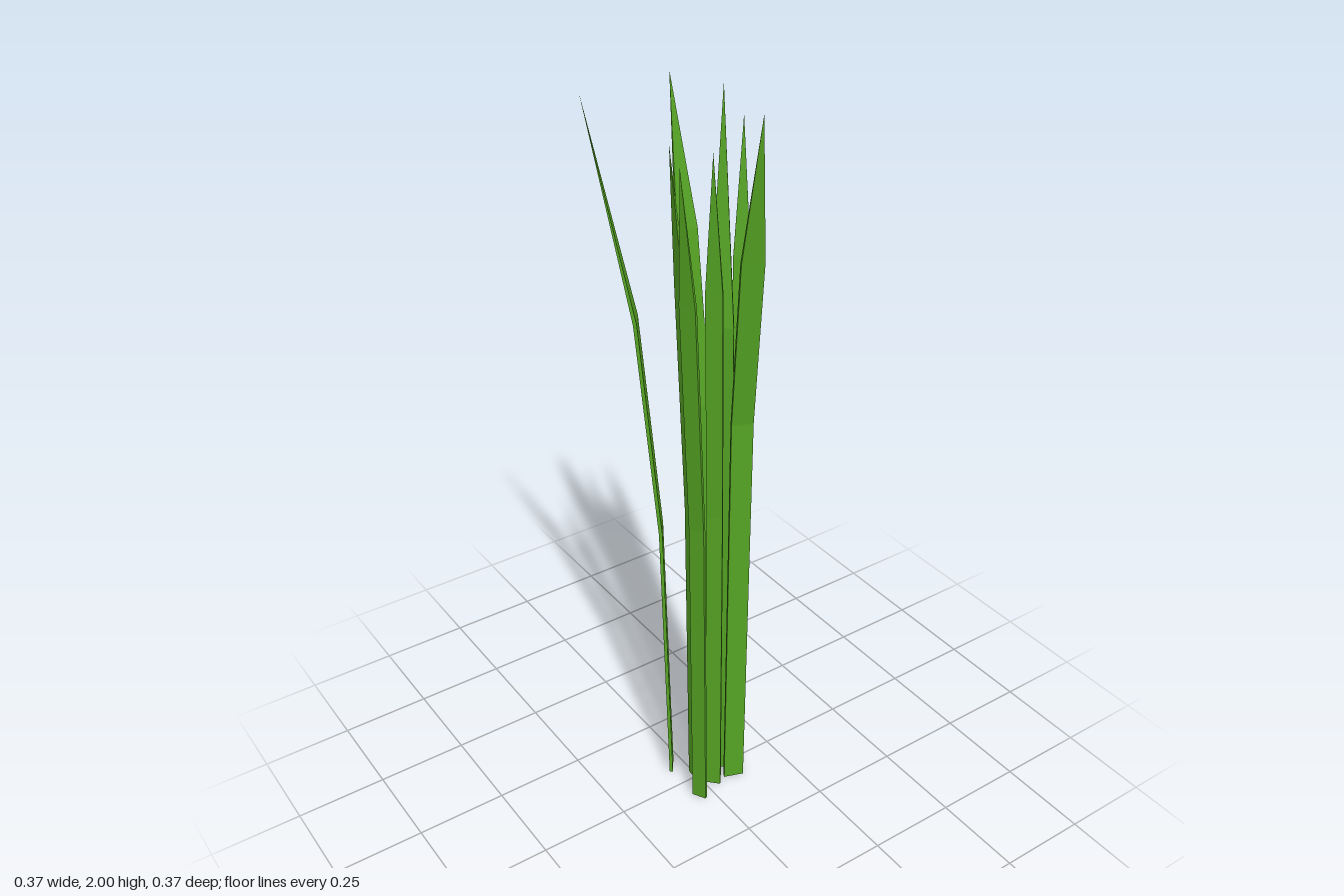
import * as THREE from 'three';

const THICKNESS = 0.009;

// Flat pointed blade: four-cornered rings at base, knee and shoulder, closed by a tip.
// base, shoulder and tip are [x, z]; heights are [knee, shoulder, tip].
function bladeGeometry({ base, shoulder, tip, width, heights }) {
  const lean = new THREE.Vector2(shoulder[0] - base[0], shoulder[1] - base[1]);
  const dir = lean.clone().normalize();
  const knee = [base[0] + lean.x * 0.27, base[1] + lean.y * 0.27];
  const levels = [[base, 0], [knee, heights[0]], [shoulder, heights[1]]];
  const positions = [];
  const index = [];

  for (const [[x, z], y] of levels) {
    for (const [out, side] of [[0, -1], [1, -1], [1, 1], [0, 1]]) {
      const o = out * THICKNESS;
      const s = side * width / 2;
      positions.push(x + dir.x * o + dir.y * s, y, z + dir.y * o - dir.x * s);
    }
  }
  positions.push(tip[0], heights[2], tip[1]);

  // Underside, sides and tip
  index.push(0, 3, 2, 0, 2, 1);
  for (let i = 0; i < 4; i++) {
    const j = (i + 1) % 4;
    for (let r = 0; r < 8; r += 4) {
      index.push(r + j, r + i, r + 4 + i, r + j, r + 4 + i, r + 4 + j);
    }
    index.push(8 + i, 8 + j, 12);
  }
  // Sides share the outward order of the tip triangles
  for (let k = 6; k < index.length; k += 3) {
    if (index[k + 2] !== 12) [index[k], index[k + 1]] = orient(index, k);
  }

  const geometry = new THREE.BufferGeometry();
  geometry.setAttribute('position', new THREE.Float32BufferAttribute(positions, 3));
  geometry.setIndex(index);
  const flat = geometry.toNonIndexed();
  flat.computeVertexNormals();
  return flat;
}

// Swap the first two corners so the face points away from the blade's core
function orient(index, k) {
  return [index[k + 1], index[k]];
}

export function createModel() {
  const group = new THREE.Group();
  group.name = 'grassTuft';
  const material = new THREE.MeshStandardMaterial({
    color: 0x56a524, flatShading: true, side: THREE.DoubleSide,
  });

  const low = [0.83, 1.43, 1.98];
  const high = [1.18, 1.63, 1.99];
  const small = [0.92, 1.55, 1.89];
  const blades = [
    // Tall blades
    { name: 'tallBladeBackRight', base: [-0.032, -0.077], shoulder: [-0.091, -0.119], tip: [-0.184, -0.188], width: 0.057, heights: low },
    { name: 'tallBladeBack', base: [0.046, -0.03], shoulder: [0.046, -0.107], tip: [0.046, -0.177], width: 0.058, heights: high },
    { name: 'tallBladeFront', base: [0.09, 0.049], shoulder: [0.062, 0.126], tip: [0.04, 0.185], width: 0.056, heights: high },
    { name: 'tallBladeFolded', base: [0.078, -0.004], shoulder: [0.054, 0.022], tip: [0.078, -0.012], width: 0.06, heights: [0.83, 1.43, 2] },
    // Short blades
    { name: 'shortBladeLeft', base: [0.122, 0.005], shoulder: [0.162, -0.048], tip: [0.184, -0.079], width: 0.042, heights: small },
    { name: 'shortBladeFrontRight', base: [-0.035, 0.066], shoulder: [-0.09, 0.096], tip: [-0.127, 0.118], width: 0.041, heights: small },
    { name: 'shortBladeFront', base: [0.027, 0.043], shoulder: [-0.001, 0.07], tip: [-0.02, 0.088], width: 0.041, heights: small },
    { name: 'shortBladeRight', base: [-0.001, -0.009], shoulder: [-0.036, -0.011], tip: [-0.066, -0.013], width: 0.04, heights: small },
  ];

  for (const blade of blades) {
    const mesh = new THREE.Mesh(bladeGeometry(blade), material);
    mesh.name = blade.name;
    group.add(mesh);
  }
  return group;
}
